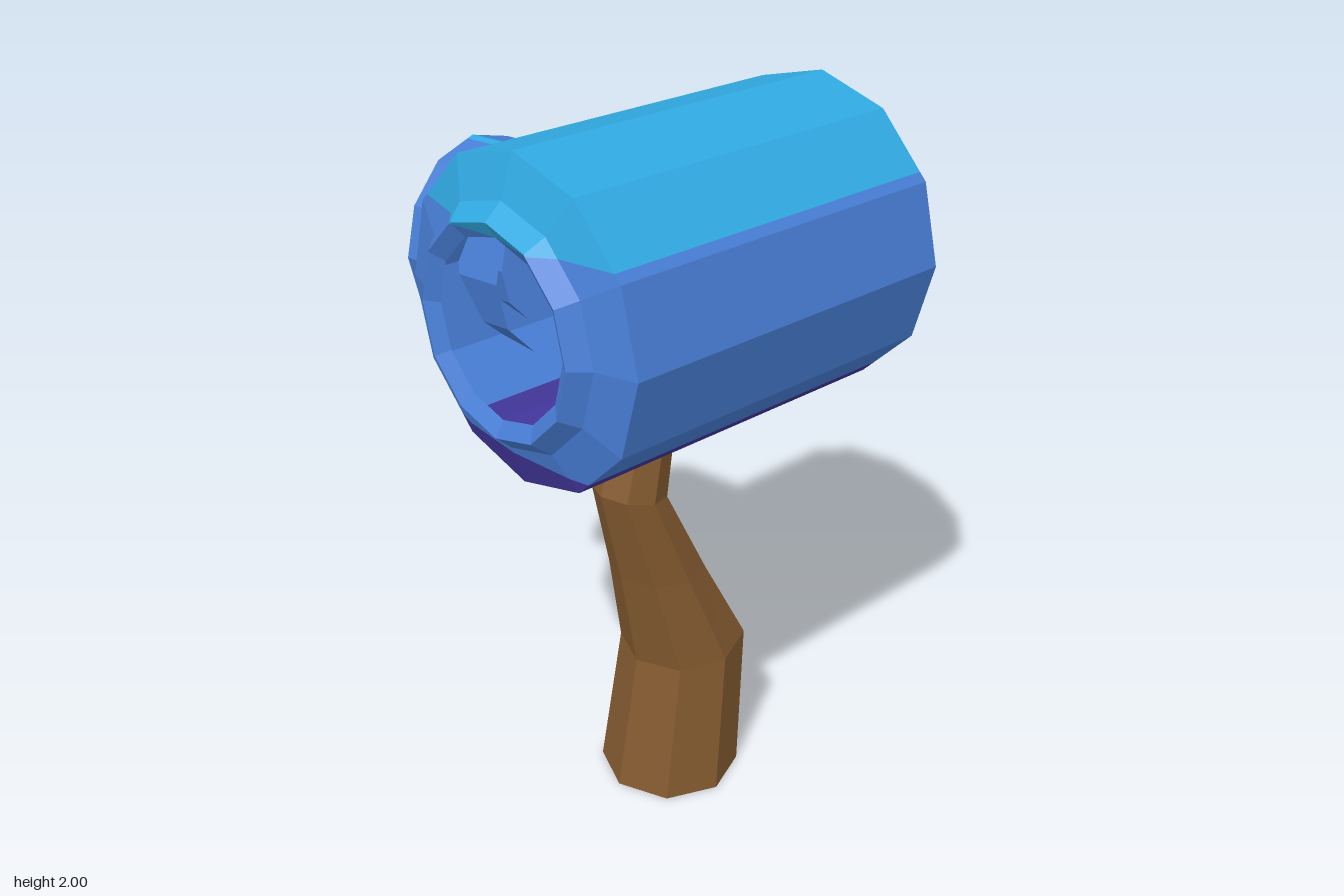
import * as THREE from 'three';

const flat = (name, color) => {
  const m = new THREE.MeshStandardMaterial({ color, flatShading: true, side: THREE.DoubleSide });
  m.name = name;
  return m;
};

// Cut triangles at height h; returns [below, above]
function splitAtHeight(tris, h) {
  const below = [], above = [];
  const clip = (tri, sign, out) => {
    const poly = [];
    tri.forEach((a, i) => {
      const b = tri[(i + 1) % 3];
      const da = (a.y - h) * sign, db = (b.y - h) * sign;
      if (da >= 0) poly.push(a);
      if (da * db < 0) poly.push(a.clone().lerp(b, da / (da - db)));
    });
    for (let i = 1; i + 1 < poly.length; i++) out.push([poly[0], poly[i], poly[i + 1]]);
  };
  for (const t of tris) {
    clip(t, -1, below);
    clip(t, 1, above);
  }
  return [below, above];
}

function trianglesOf(geometry) {
  const p = geometry.toNonIndexed().attributes.position, tris = [];
  for (let i = 0; i < p.count; i += 3) {
    tris.push([0, 1, 2].map(k => new THREE.Vector3().fromBufferAttribute(p, i + k)));
  }
  return tris;
}

function meshOf(tris, material, name) {
  const g = new THREE.BufferGeometry().setFromPoints(tris.flat());
  g.computeVertexNormals();
  const mesh = new THREE.Mesh(g, material);
  mesh.name = name;
  return mesh;
}

const lathe = profile =>
  new THREE.LatheGeometry(profile.map(([r, y]) => new THREE.Vector2(r, y)), 12);

// Loft eight-sided rings given as [y, cx, cz, radius, tilt]
function loft(rings) {
  const n = 8, pos = [], index = [];
  for (const [y, cx, cz, r, tilt] of rings) {
    for (let i = 0; i < n; i++) {
      const a = (i / n) * Math.PI * 2, dz = r * Math.cos(a);
      pos.push(cx + r * Math.sin(a), y + tilt * dz, cz + dz);
    }
  }
  for (let k = 0; k + 1 < rings.length; k++) {
    for (let i = 0; i < n; i++) {
      const a = k * n + i, b = k * n + ((i + 1) % n);
      index.push(a, b, b + n, a, b + n, a + n);
    }
  }
  const top = (rings.length - 1) * n;
  for (let i = 1; i + 1 < n; i++) index.push(0, i + 1, i, top, top + i, top + i + 1);
  const g = new THREE.BufferGeometry();
  g.setAttribute('position', new THREE.Float32BufferAttribute(pos, 3));
  g.setIndex(index);
  return g;
}

export function createModel() {
  const model = new THREE.Group();
  const skyBlue = flat('sky blue', 0x30a8e0);
  const blue = flat('blue', 0x487ed6);
  const purple = flat('purple', 0x42359a);
  const brown = flat('wood brown', 0x845a30);

  // A hollow shell painted in three horizontal bands
  const addBanded = (name, geometry) => {
    const [low, rest] = splitAtHeight(trianglesOf(geometry), 1.27);
    const [mid, high] = splitAtHeight(rest, 1.815);
    const group = new THREE.Group();
    group.name = name;
    [[low, purple, 'Underside'], [mid, blue, 'Body'], [high, skyBlue, 'Top']].forEach(([t, m, suffix]) => {
      if (t.length) group.add(meshOf(t, m, name + suffix));
    });
    model.add(group);
  };

  // Main barrel, open at both ends, with stepped lips
  const half = [[0.41, 0.495], [0.305, 0.53], [0.265, 0.575], [0.225, 0.55]];
  const barrel = lathe([...half.map(([r, y]) => [r, -y]).reverse(), ...half]);
  barrel.rotateX(Math.PI / 2).translate(0.135, 1.59, 0);
  addBanded('barrel', barrel);

  // Short side tube, turned slightly forward
  const tube = lathe([[0.26, 0], [0.26, 0.305], [0.205, 0.34], [0.185, 0.32], [0.185, 0.05]]);
  tube.rotateZ(Math.PI / 2).rotateY(0.18).translate(-0.19, 1.56, 0.092);
  addBanded('sideTube', tube);

  // Bent, tapering wooden handle
  const handle = loft([
    [0, 0.065, -0.06, 0.2, 0],
    [0.425, 0.065, -0.105, 0.177, -0.08],
    [0.7, 0.065, -0.005, 0.133, 0.06],
    [0.97, 0.063, 0.095, 0.1, 0.2],
    [1.25, 0.065, 0.03, 0.08, 0],
  ]);
  model.add(meshOf(trianglesOf(handle), brown, 'handle'));

  // Sharp splinter peeling off the handle
  const v = (x, y, z) => new THREE.Vector3(x, y, z);
  const tip = v(-0.12, 0.98, 0.03);
  const base = [v(-0.07, 0.7, 0.03), v(-0.04, 0.82, 0.07), v(-0.05, 0.78, -0.03)];
  model.add(meshOf(base.map((p, i) => [p, base[(i + 1) % 3], tip]), brown, 'splinter'));

  return model;
}
